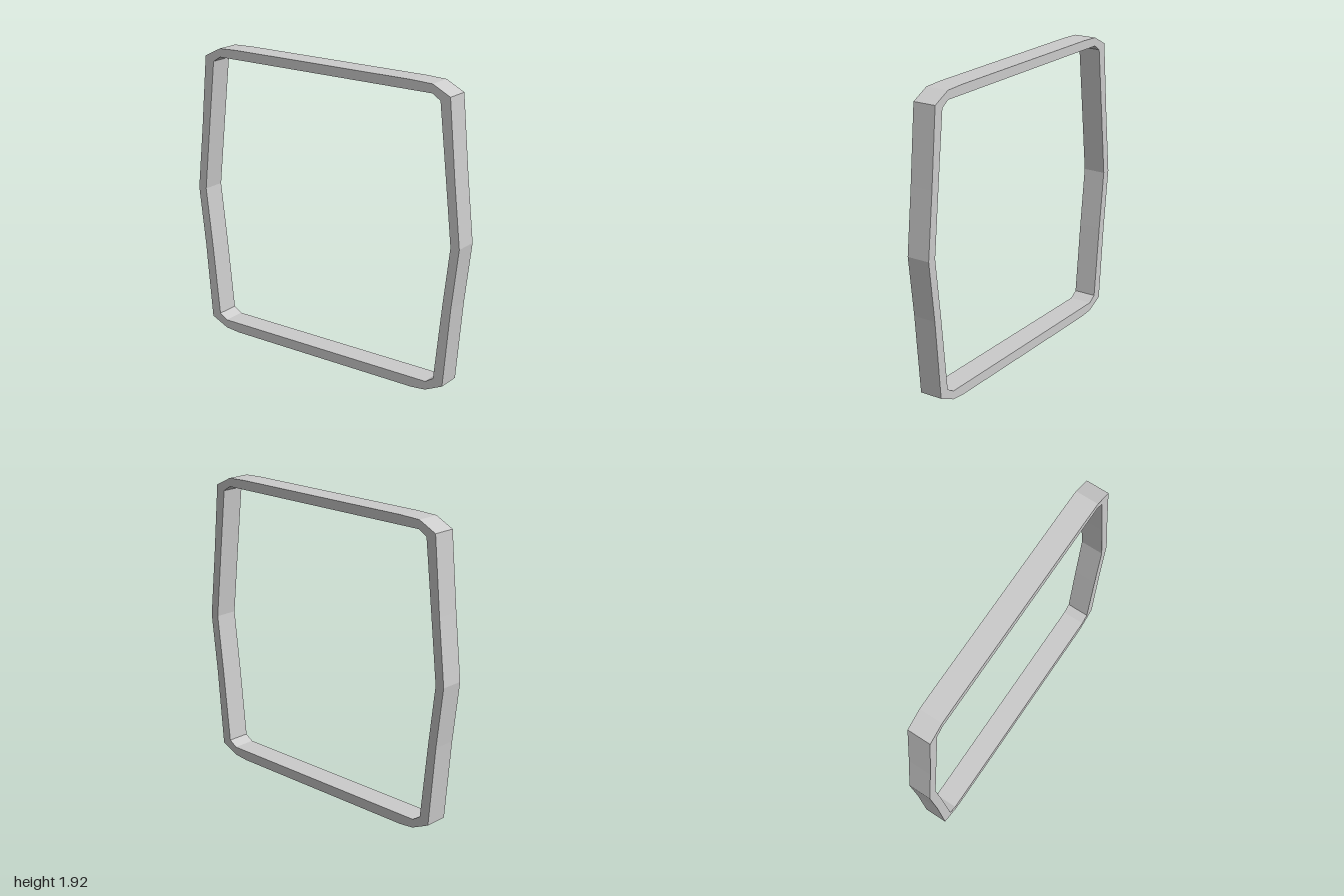
import * as THREE from 'three';

// Mirror one quarter-pair of points (z, y), listed bottom to top, into a closed loop
function mirroredLoop(side) {
  const right = side.map(([z, y]) => new THREE.Vector2(z, y));
  const left = side.map(([z, y]) => new THREE.Vector2(-z, y)).reverse();
  return [...right, ...left];
}

export function createModel() {
  const group = new THREE.Group();
  group.name = 'bandFrame';
  const width = 0.15;

  // Outer outline: chamfered corners, sides bulging at mid height
  const shape = new THREE.Shape(mirroredLoop([
    [0.69, 0], [0.79, 0.01], [0.91, 0.065], [0.955, 0.58], [1, 0.965],
    [0.955, 1.38], [0.91, 1.86], [0.79, 1.92], [0.65, 1.925],
  ]));

  // Opening, following the outline at the band's thickness
  shape.holes.push(new THREE.Path(mirroredLoop([
    [0.79, 0.065], [0.845, 0.1], [0.895, 0.58], [0.94, 0.965],
    [0.895, 1.38], [0.845, 1.83], [0.79, 1.865],
  ])));

  const geometry = new THREE.ExtrudeGeometry(shape, { depth: width, bevelEnabled: false });
  geometry.translate(0, 0, -width / 2);
  geometry.rotateY(-Math.PI / 2);

  const band = new THREE.Mesh(
    geometry,
    new THREE.MeshStandardMaterial({ color: 0xcccccc, flatShading: true }),
  );
  band.name = 'band';
  group.add(band);
  return group;
}
